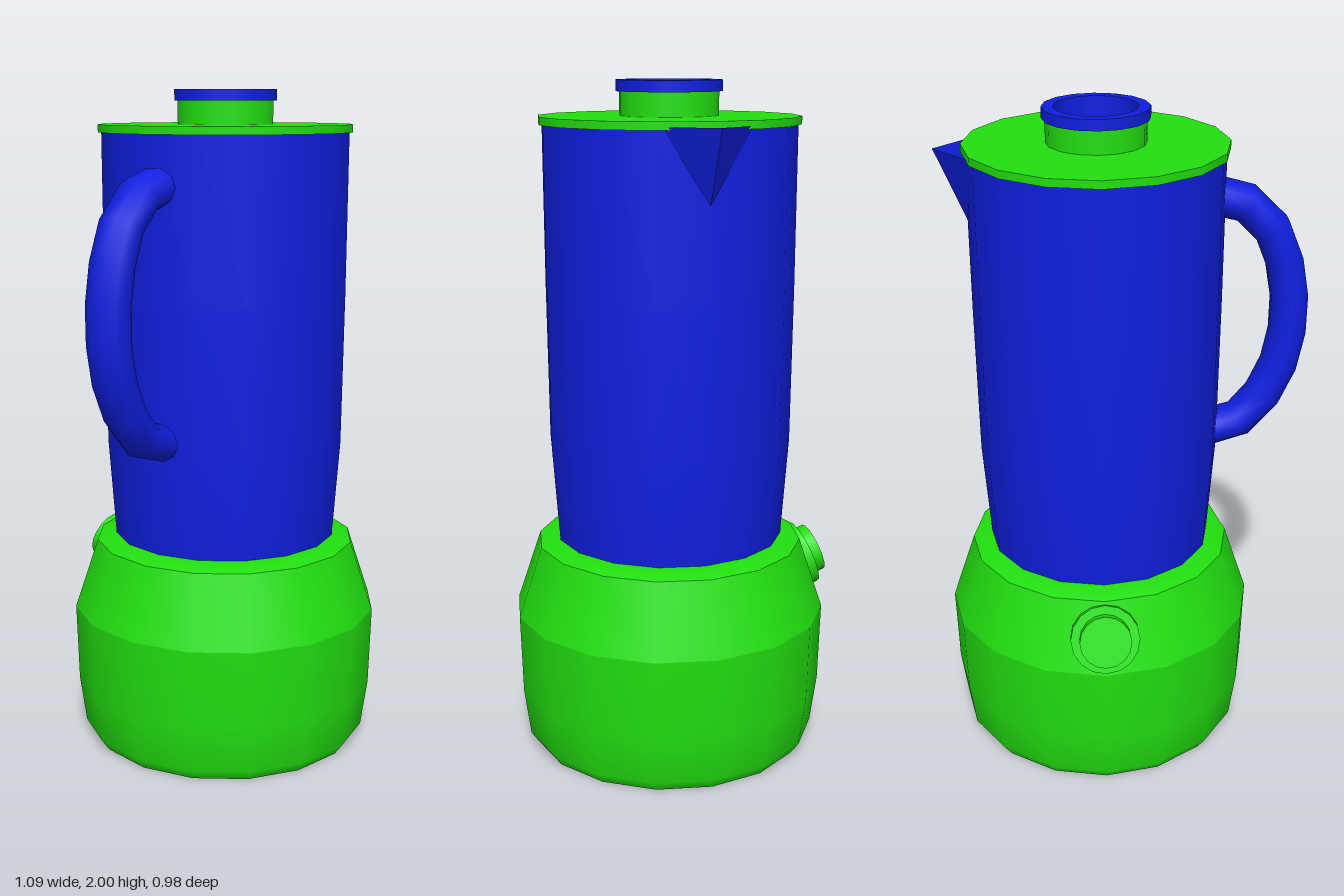
import * as THREE from 'three';
import { mergeGeometries } from 'three/addons/utils/BufferGeometryUtils.js';

const blue = new THREE.MeshStandardMaterial({ color: 0x0f1fe0 });
const green = new THREE.MeshStandardMaterial({ color: 0x22e010 });
const blueThin = new THREE.MeshStandardMaterial({ color: 0x0f1fe0, side: THREE.DoubleSide, flatShading: true });

// Turned part: each section is smooth, with a sharp edge between sections
function turned(name, material, sections, sides = 16) {
  const lathes = sections.map((pts) =>
    new THREE.LatheGeometry(pts.map(([r, y]) => new THREE.Vector2(r, y)), sides));
  const mesh = new THREE.Mesh(mergeGeometries(lathes), material);
  mesh.name = name;
  return mesh;
}

export function createModel() {
  const model = new THREE.Group();
  model.name = 'blender';

  // Everything turned shares one upright axis
  const body = new THREE.Group();
  body.name = 'body';
  body.position.set(0.075, 0, 0.02);
  model.add(body);

  // Motor base
  body.add(turned('motorBase', green, [
    [[0, 0], [0.42, 0]],
    [[0.42, 0], [0.445, 0.035], [0.465, 0.18], [0.472, 0.42]],
    [[0.472, 0.42], [0.4, 0.635]],
    [[0.4, 0.635], [0.345, 0.655], [0, 0.655]],
  ]));

  // Jug
  body.add(turned('jug', blue, [
    [[0.34, 0.64], [0.362, 0.95], [0.367, 1.4], [0.369, 1.88]],
  ]));

  // Lid with a neck
  body.add(turned('lid', green, [
    [[0, 1.877], [0.379, 1.877]],
    [[0.379, 1.877], [0.379, 1.9]],
    [[0.379, 1.9], [0.143, 1.9]],
    [[0.143, 1.9], [0.143, 1.97]],
  ]));

  // Hollow filler cap
  body.add(turned('fillerCap', blue, [
    [[0.14, 1.968], [0.153, 1.968]],
    [[0.153, 1.968], [0.153, 2]],
    [[0.153, 2], [0.12, 2]],
    [[0.12, 2], [0.12, 1.905]],
    [[0.12, 1.905], [0, 1.905]],
  ]));

  // Pouring spout: two thin walls meeting at the lip
  const tip = [0.457, 1.887, 0];
  const root = [0.364, 1.67, 0];
  const spoutGeometry = new THREE.BufferGeometry();
  spoutGeometry.setAttribute('position', new THREE.Float32BufferAttribute([
    ...root, ...tip, 0.345, 1.885, 0.127,
    ...root, 0.345, 1.885, -0.127, ...tip,
  ].map(Number), 3));
  // Order corners so that both walls face outward
  spoutGeometry.setIndex([0, 2, 1, 3, 5, 4].map((i) => [0, 1, 2, 3, 4, 5][i]).reverse());
  spoutGeometry.computeVertexNormals();
  const spout = new THREE.Mesh(spoutGeometry, blueThin);
  spout.name = 'spout';
  body.add(spout);

  // Handle: a tube widened sideways
  const path = new THREE.CatmullRomCurve3([
    [-0.25, 1.74], [-0.355, 1.713], [-0.432, 1.637], [-0.48, 1.51], [-0.495, 1.37],
    [-0.475, 1.22], [-0.415, 1.09], [-0.35, 1.022], [-0.25, 0.995],
  ].map(([x, y]) => new THREE.Vector3(x, y, 0)));
  const handleGeometry = new THREE.TubeGeometry(path, 9, 0.057, 10);
  handleGeometry.scale(1, 1, 1.18);
  const handle = new THREE.Mesh(handleGeometry, blue);
  handle.name = 'handle';
  handle.position.z = 0.032;
  model.add(handle);

  // Push button on the back, square to the sloping shoulder
  const button = new THREE.Group();
  button.name = 'button';
  button.add(turned('buttonRing', green, [
    [[0.103, -0.06], [0.103, 0]],
    [[0.103, 0], [0, 0]],
  ]));
  button.add(turned('buttonCap', green, [
    [[0.077, -0.01], [0.077, 0.035]],
    [[0.077, 0.035], [0, 0.035]],
  ]));
  button.position.set(0.077, 0.533, -0.428);
  button.quaternion.setFromUnitVectors(
    new THREE.Vector3(0, 1, 0), new THREE.Vector3(0, 0.35, -0.937).normalize());
  model.add(button);

  return model;
}
